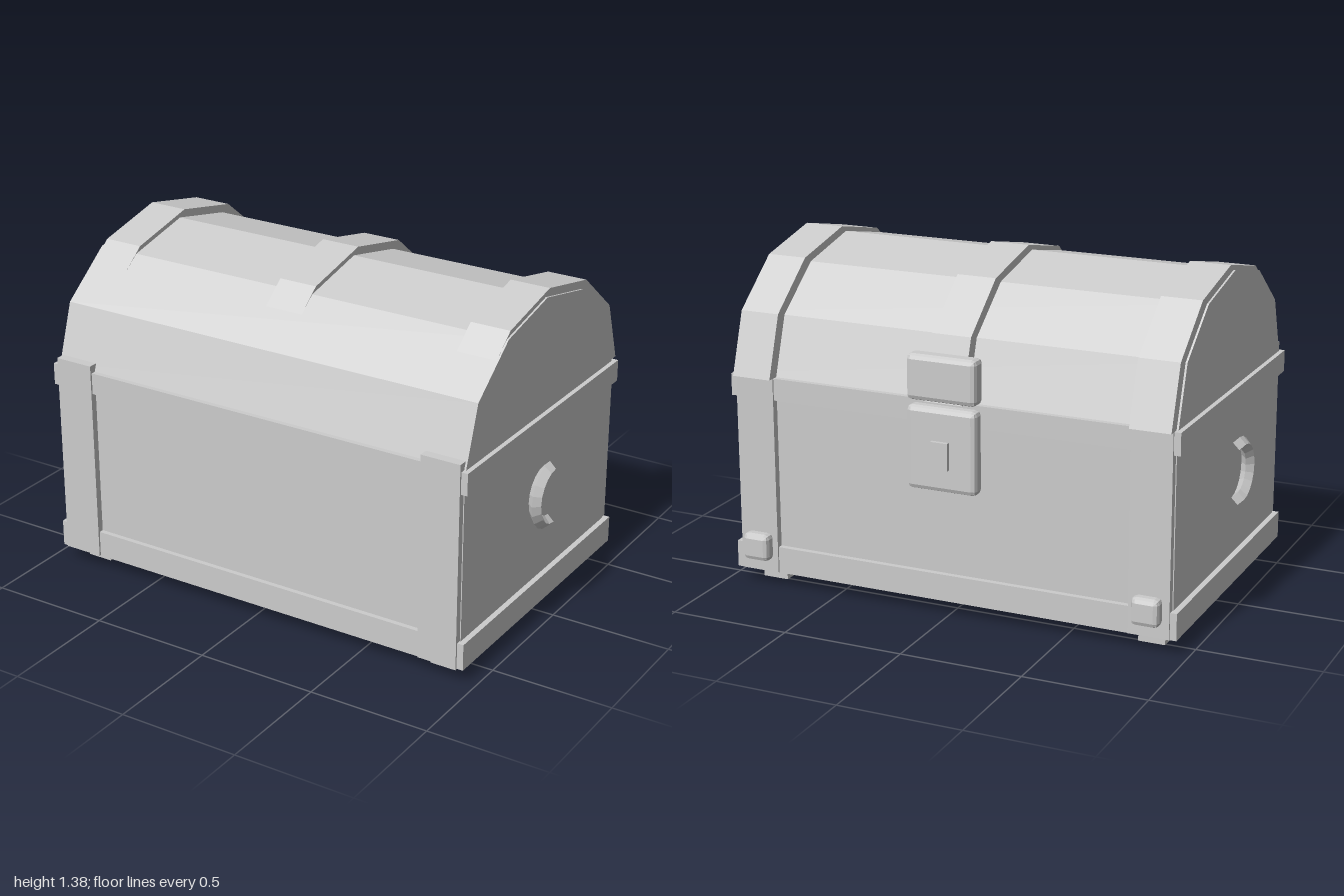
import * as THREE from 'three';
import { RoundedBoxGeometry } from 'three/addons/geometries/RoundedBoxGeometry.js';

export function createModel() {
  const chest = new THREE.Group();
  chest.name = 'treasureChest';
  const grey = new THREE.MeshStandardMaterial({ color: 0xcccccc });
  grey.name = 'plainGrey';

  // Adds a faceted mesh
  function add(name, geometry, x = 0, y = 0, z = 0) {
    const flat = geometry.index ? geometry.toNonIndexed() : geometry;
    flat.computeVertexNormals();
    const mesh = new THREE.Mesh(flat, grey);
    mesh.name = name;
    mesh.position.set(x, y, z);
    chest.add(mesh);
    return mesh;
  }

  // Boxes given by their limits; the chamfered kind has cut edges
  function box(name, x0, x1, y0, y1, z0, z1, chamfer = 0) {
    const size = [x1 - x0, y1 - y0, z1 - z0];
    const geometry = chamfer
      ? new RoundedBoxGeometry(...size, 1, chamfer)
      : new THREE.BoxGeometry(...size);
    return add(name, geometry, (x0 + x1) / 2, (y0 + y1) / 2, (z0 + z1) / 2);
  }

  // Vault: a (z, y) outline extruded along x
  function vault(name, outline, x0, x1) {
    const shape = new THREE.Shape(outline.map(([z, y]) => new THREE.Vector2(z, y)));
    const geometry = new THREE.ExtrudeGeometry(shape, { depth: x1 - x0, bevelEnabled: false });
    geometry.rotateY(-Math.PI / 2);
    return add(name, geometry, x1, 0, 0);
  }

  // Body with its bottom and top rims
  box('body', -0.93, 0.93, 0.065, 0.88, -0.567, 0.632);
  box('bottomRim', -0.953, 0.953, 0.06, 0.17, -0.59, 0.652);
  box('topRim', -0.953, 0.953, 0.79, 0.88, -0.59, 0.652);

  // Lid and the straps across it
  const lidOutline = [[0.632, 0.88], [0.553, 1.117], [0.333, 1.287], [0.032, 1.352],
    [-0.267, 1.287], [-0.487, 1.117], [-0.567, 0.88]];
  const strapOutline = [[0.615, 0.88], [0.535, 1.126], [0.307, 1.311], [0, 1.378],
    [-0.312, 1.311], [-0.537, 1.13], [-0.62, 0.88]];
  vault('lid', lidOutline, -0.934, 0.934);
  vault('middleStrap', strapOutline, -0.082, 0.082);

  for (const side of [-1, 1]) {
    const label = side > 0 ? 'left' : 'right';
    const span = (a, b) => (side > 0 ? [a, b] : [-b, -a]);
    vault(label + 'Strap', strapOutline, ...span(0.76, 0.926));

    // Upright corner boards, wrapping from front to back
    box(label + 'CornerBoards', ...span(0.76, 0.926), 0.062, 0.912, -0.597, 0.66);

    // Feet and the rear stud
    box(label + 'FrontFoot', ...span(0.77, 0.88), 0, 0.065, 0.465, 0.577);
    box(label + 'BackFoot', ...span(0.77, 0.88), 0, 0.065, -0.51, -0.398);
    box(label + 'Stud', ...span(0.783, 0.897), 0.115, 0.228, -0.645, -0.58, 0.02);

    // Half-ring handle with a diamond section
    const ring = new THREE.TorusGeometry(0.114, 0.027, 4, 10, Math.PI);
    ring.rotateZ(-Math.PI / 2);
    ring.rotateY(-Math.PI / 2);
    add(label + 'Handle', ring, side * 0.973, 0.545, 0.032);
    // Diamond caps closing the handle ends
    for (const end of [-1, 1]) {
      const cap = new THREE.CircleGeometry(0.027, 4);
      cap.rotateY(Math.PI);
      add(label + 'HandleCap', cap, side * 0.973, 0.545 + end * 0.114, 0.032);
    }
  }

  // Clasp on the lid, lock plate below and its keyhole block
  box('clasp', -0.147, 0.147, 0.885, 1.068, -0.643, -0.565, 0.02);
  box('lockPlate', -0.147, 0.147, 0.528, 0.865, -0.643, -0.575, 0.02);
  box('keyholeBlock', -0.036, 0.036, 0.625, 0.735, -0.66, -0.62);

  return chest;
}
